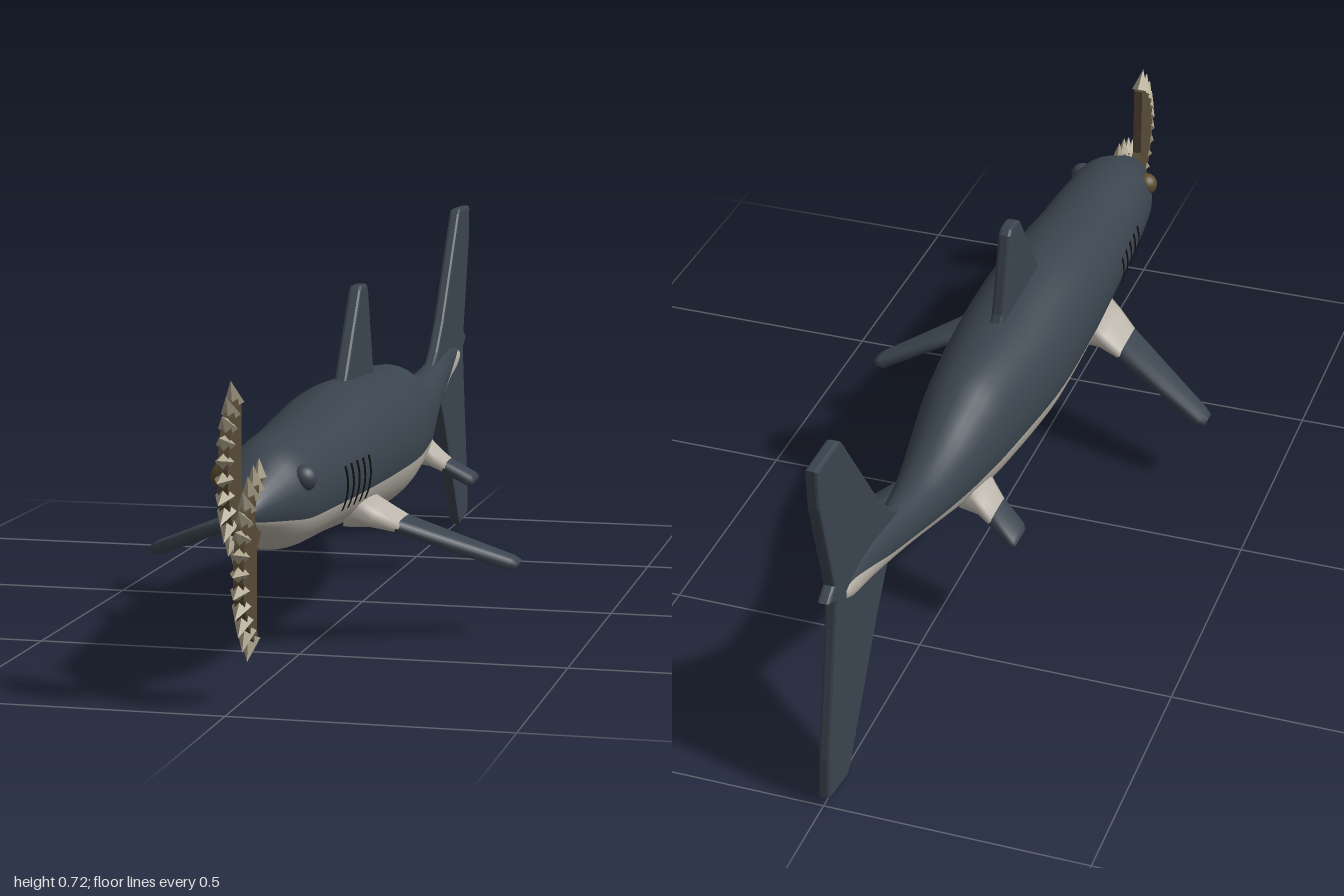
import * as THREE from 'three';

const mat = (name, color, opts = {}) => {
  const m = new THREE.MeshStandardMaterial({ color, ...opts });
  m.name = name;
  return m;
};

// Body stations: z, top y, bottom y, half width, y of the belly colour line
const STATIONS = [
  [0.885, 0.345, 0.305, 0.02, 0.315], [0.865, 0.365, 0.293, 0.036, 0.312],
  [0.8, 0.4, 0.268, 0.066, 0.305], [0.74, 0.426, 0.242, 0.088, 0.3],
  [0.66, 0.436, 0.23, 0.097, 0.3], [0.5, 0.444, 0.224, 0.108, 0.298],
  [0.35, 0.46, 0.214, 0.117, 0.298], [0.2, 0.47, 0.203, 0.122, 0.298],
  [0, 0.462, 0.195, 0.12, 0.298], [-0.2, 0.455, 0.204, 0.098, 0.297],
  [-0.3, 0.433, 0.22, 0.083, 0.296], [-0.4, 0.406, 0.246, 0.066, 0.3],
  [-0.5, 0.393, 0.274, 0.05, 0.312], [-0.6, 0.399, 0.301, 0.037, 0.332],
  [-0.7, 0.414, 0.326, 0.028, 0.358], [-0.78, 0.424, 0.345, 0.022, 0.385],
  [-0.85, 0.42, 0.36, 0.018, 0.405], [-0.89, 0.408, 0.378, 0.014, 0.404],
];
const curve = (a, b) => new THREE.CatmullRomCurve3(
  STATIONS.map((s) => new THREE.Vector3(s[a], s[b], s[0])), false, 'catmullrom', 0.5);
const heights = curve(1, 2), widths = curve(3, 4);

function section(t) {
  const h = heights.getPoint(t), w = widths.getPoint(t);
  return { z: h.z, cy: (h.x + h.y) / 2, h: (h.x - h.y) / 2, w: w.x, line: w.y };
}

function sectionAt(z) {
  let lo = 0, hi = 1;
  for (let i = 0; i < 30; i++) {
    const mid = (lo + hi) / 2;
    if (section(mid).z > z) lo = mid; else hi = mid;
  }
  return section(lo);
}

// Closed skin through rings of points, with capped ends; the first `split`
// columns of each ring go to material group 0, the rest to group 1.
function loft(rings, split) {
  const n = rings[0].length, pos = [], first = [], second = [];
  rings.forEach((r) => r.forEach((p) => pos.push(...p)));
  const put = (j, ...ids) => (j < split ? first : second).push(...ids);
  for (let i = 0; i < rings.length - 1; i++) {
    for (let j = 0; j < n; j++) {
      const k = (j + 1) % n, a = i * n + j, b = i * n + k;
      put(j, a, a + n, b, b, a + n, b + n);
    }
  }
  [0, rings.length - 1].forEach((i) => {
    const c = pos.length / 3;
    for (let d = 0; d < 3; d++) pos.push(rings[i].reduce((s, p) => s + p[d], 0) / n);
    for (let j = 0; j < n; j++) {
      const a = i * n + j, b = i * n + (j + 1) % n;
      if (i === 0) put(j, c, a, b); else put(j, c, b, a);
    }
  });
  const g = new THREE.BufferGeometry();
  g.setAttribute('position', new THREE.Float32BufferAttribute(pos, 3));
  g.setIndex([...first, ...second]);
  g.addGroup(0, first.length, 0);
  g.addGroup(first.length, second.length, 1);
  g.computeVertexNormals();
  return g;
}

function bodyGeometry() {
  const rings = [], half = 18, steps = 80;
  for (let i = 0; i <= steps; i++) {
    const s = section(i / steps), ring = [];
    const a = Math.asin(THREE.MathUtils.clamp((s.line - s.cy) / s.h, -0.95, 0.95));
    for (let j = 0; j < half * 2; j++) {
      const t = j < half ? a + (Math.PI - 2 * a) * j / half
        : Math.PI - a + (Math.PI + 2 * a) * (j - half) / half;
      ring.push([s.w * Math.cos(t), s.cy + s.h * Math.sin(t), s.z]);
    }
    rings.push(ring);
  }
  return loft(rings, half);
}

// Side fin from stations [x, y, leading z, trailing z, thickness]
function finGeometry(stations, side) {
  const n = 14;
  const rings = stations.map(([x, y, lead, trail, thick]) => {
    const ring = [];
    for (let j = 0; j < n; j++) {
      const t = -side * j / n * Math.PI * 2;
      const c = Math.cos(t), s = Math.sin(t);
      const up = Math.sign(s) * Math.sqrt(Math.abs(s)) * thick / 2;
      ring.push([side * (x + up * 0.4), y + up * 0.9, (lead + trail) / 2 + c * (lead - trail) / 2]);
    }
    return ring;
  });
  return loft(rings.reverse(), n);
}

// Upright plate drawn in (z, y), centred on x = 0
function plate(points, thick, bevel) {
  const shape = new THREE.Shape(points.map((p) => new THREE.Vector2(p[0], p[1])));
  const g = new THREE.ExtrudeGeometry(shape, {
    depth: thick - 2 * bevel, bevelEnabled: bevel > 0, bevelThickness: bevel,
    bevelSize: bevel, bevelOffset: -bevel, bevelSegments: 2,
  });
  g.translate(0, 0, bevel - thick / 2);
  g.rotateY(-Math.PI / 2);
  return g;
}

export function createModel() {
  const group = new THREE.Group();
  const slate = mat('slate skin', 0x3a444e);
  const pale = mat('pale belly', 0xbab4aa);
  const black = mat('gill black', 0x0b0c0d, { side: THREE.DoubleSide });
  const brown = mat('blade brown', 0x574a36);
  const bone = mat('tooth bone', 0xaaa189, { flatShading: true });
  const amber = mat('amber eye', 0x5c4a2c);
  const add = (name, geo, material, parent = group) => {
    const m = new THREE.Mesh(geo, material);
    m.name = name;
    parent.add(m);
    return m;
  };

  add('body', bodyGeometry(), [slate, pale]);

  // Dorsal and tail fins
  add('dorsalFin', plate([[0.2, 0.44], [0.17, 0.485], [0.065, 0.632], [0.052, 0.64], [0.012, 0.64],
    [0.002, 0.63], [-0.04, 0.475], [-0.06, 0.44]], 0.026, 0.006), slate);
  add('tailFin', plate([[-0.6, 0.385], [-0.66, 0.425], [-0.72, 0.485], [-0.885, 0.71], [-0.9, 0.72],
    [-1, 0.72], [-0.995, 0.64], [-0.94, 0.445], [-0.968, 0.425], [-0.935, 0.405], [-0.942, 0.35],
    [-0.99, 0.1], [-0.997, 0.018], [-0.91, 0.002], [-0.895, 0.015], [-0.74, 0.25], [-0.66, 0.355]],
  0.024, 0.006), slate);

  // Paired parts
  for (const side of [1, -1]) {
    const label = side > 0 ? 'left' : 'right';
    add(label + 'PectoralBase', finGeometry([[0.075, 0.255, 0.44, 0.28, 0.07],
      [0.115, 0.243, 0.415, 0.285, 0.045], [0.16, 0.222, 0.385, 0.277, 0.026]], side), pale);
    add(label + 'PectoralFin', finGeometry([[0.155, 0.224, 0.388, 0.278, 0.029],
      [0.25, 0.182, 0.327, 0.246, 0.03], [0.345, 0.141, 0.266, 0.213, 0.029],
      [0.36, 0.136, 0.253, 0.219, 0.02]], side), slate);
    add(label + 'PelvicBase', finGeometry([[0.045, 0.265, -0.26, -0.38, 0.06],
      [0.078, 0.246, -0.285, -0.374, 0.035], [0.105, 0.226, -0.303, -0.38, 0.026]], side), pale);
    add(label + 'PelvicFin', finGeometry([[0.1, 0.229, -0.3, -0.379, 0.029],
      [0.148, 0.199, -0.325, -0.395, 0.028], [0.156, 0.194, -0.335, -0.392, 0.02]], side), slate);

    const eye = add(label + 'Eye', new THREE.SphereGeometry(0.024, 20, 14), side > 0 ? slate : amber);
    eye.position.set(side * 0.072, 0.371, 0.745);

    // Gill slits lie just over the skin
    for (let i = 0; i < 5; i++) {
      const g = new THREE.PlaneGeometry(0.012, 0.082, 1, 8), p = g.attributes.position;
      for (let v = 0; v < p.count; v++) {
        const z = 0.57 - i * 0.035 + p.getX(v), y = 0.326 + p.getY(v);
        const s = sectionAt(z);
        const x = s.w * Math.sqrt(1 - ((y - s.cy) / s.h) ** 2) + 0.006;
        p.setXYZ(v, side * x, y, z);
      }
      g.computeVertexNormals();
      add(label + 'GillSlit' + (i + 1), g, black);
    }
  }

  // Two crossing arched tooth blades, the lower one a mirror of the upper
  const cz = 0.81, root = 0.15, from = 1.02, to = -1.5;
  for (const up of [1, -1]) {
    const blade = new THREE.Group();
    blade.name = up > 0 ? 'upperToothBlade' : 'lowerToothBlade';
    blade.position.x = -0.013 * up;
    group.add(blade);
    const cy = 0.318 + 0.085 * up;
    const at = (a, r) => [cz + r * Math.cos(a), cy + up * r * Math.sin(a)];
    const outline = [];
    for (let i = 0; i <= 24; i++) outline.push(at(from + (to - from) * i / 24, root));
    outline.push([0.81, cy - up * 0.09], [0.872, cy - up * 0.03], [0.872, cy + up * 0.12]);
    add('bladePlate', plate(outline, 0.018, 0), brown, blade);
    const count = 13;
    for (let i = 0; i < count; i++) {
      const a = from + (to - from) * i / (count - 1);
      const [z, y] = at(a, root + 0.012);
      const tooth = add('tooth' + (i + 1), new THREE.ConeGeometry(0.0175, 0.046, 4), bone, blade);
      tooth.position.set(0, y, z);
      tooth.rotation.x = Math.PI / 2 - a * up;
    }
  }
  return group;
}
